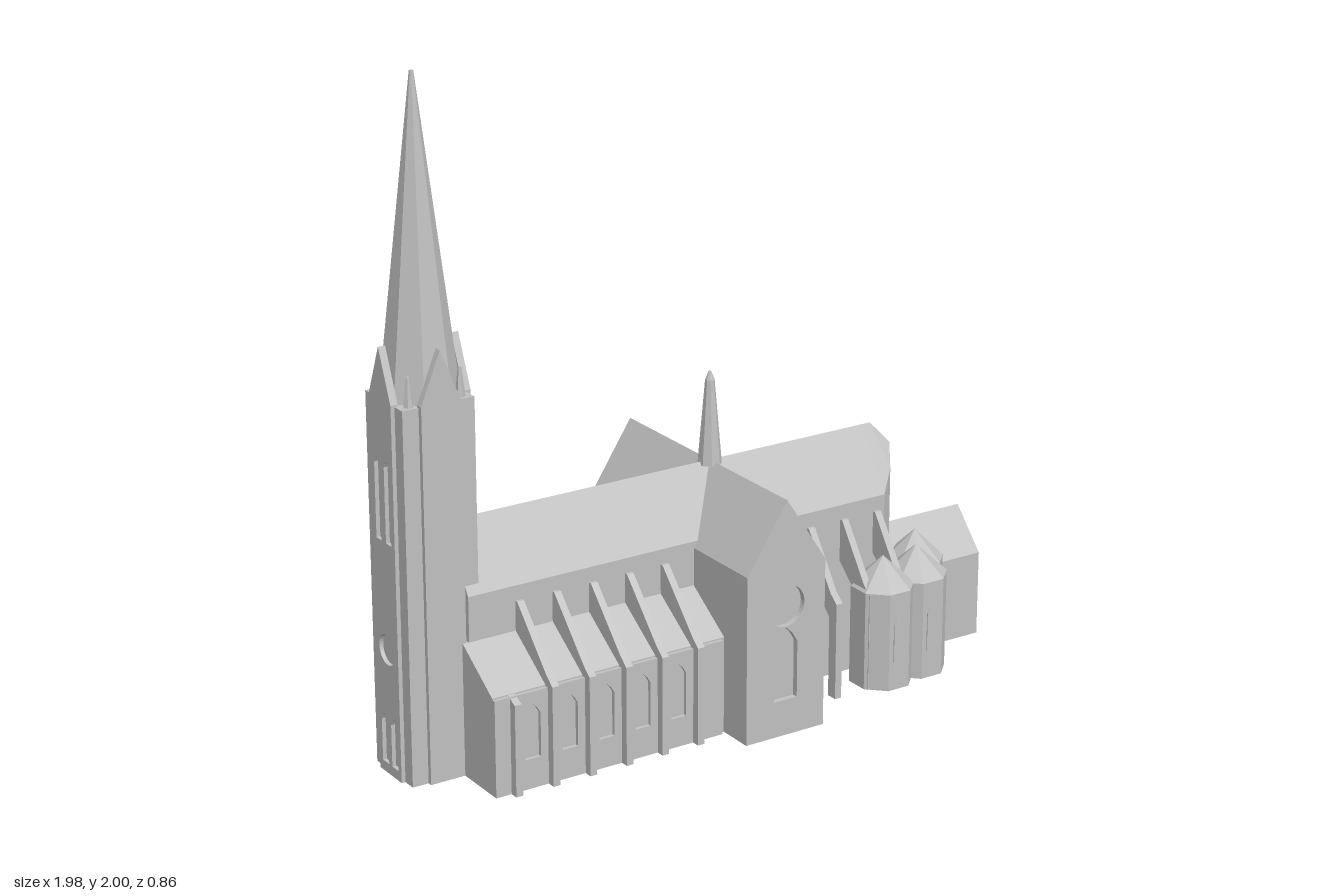
import * as THREE from 'three';

const C = 0.0375; // z of the long axis
const stone = new THREE.MeshStandardMaterial({ color: 0xc0c0c0 });
stone.name = 'stone';

export function createModel() {
  const root = new THREE.Group();
  root.name = 'church';

  const add = (name, geo, x = 0, y = 0, z = 0, parent = root) => {
    const flat = geo.index ? geo.toNonIndexed() : geo;
    flat.computeVertexNormals();
    const m = new THREE.Mesh(flat, stone);
    m.name = name;
    m.position.set(x, y, z);
    parent.add(m);
    return m;
  };
  const shapeOf = (pts, holes = []) => {
    const s = new THREE.Shape(pts.map(p => new THREE.Vector2(...p)));
    s.holes = holes;
    return s;
  };
  const extrude = (pts, depth, holes) =>
    new THREE.ExtrudeGeometry(shapeOf(pts, holes), { depth, bevelEnabled: false, curveSegments: 16 });
  // Profile in (x, y), extruded from z0 to z1
  const alongZ = (name, pts, z0, z1, holes) => add(name, extrude(pts, z1 - z0, holes), 0, 0, z0);
  // Profile in (z, y), extruded from x0 to x1
  const alongX = (name, pts, x0, x1, holes) =>
    add(name, extrude(pts.map(([z, y]) => [-z, y]), x1 - x0, holes).rotateY(Math.PI / 2), x0);
  const gable = (c, h, eave, ridge) => [[c - h, 0], [c + h, 0], [c + h, eave], [c, ridge], [c - h, eave]];
  const lancetPts = (c, w, y0, y1) => {
    const sh = y1 - w * 0.65;
    return [[c - w / 2, y0], [c + w / 2, y0], [c + w / 2, sh], [c + w * 0.28, sh + w * 0.37],
      [c, y1], [c - w * 0.28, sh + w * 0.37], [c - w / 2, sh]];
  };
  const lancet = (...a) => shapeOf(lancetPts(...a));
  const rose = (x, y, r) => {
    const p = new THREE.Path();
    p.absarc(x, y, r, 0, Math.PI * 2);
    return p;
  };
  const octagon = (r0, r1, h) => new THREE.CylinderGeometry(r1, r0, h, 8).rotateY(Math.PI / 8).translate(0, h / 2, 0);

  // Nave and choir under one long roof
  alongX('nave', gable(C, 0.12, 0.535, 0.72), -0.8, 0.62);

  // Apse: vertical walls cut by the roof slope, closed by a small hip
  const rim = [[0.62, 0.12, 0.535], [0.67, 0.08, 0.597], [0.698, 0.035, 0.66]];
  const ring = [...rim, ...rim.map(([x, z, y]) => [x, -z, y]).reverse()];
  const v = [];
  for (let i = 0; i < 5; i++) {
    const [ax, az, ay] = ring[i], [bx, bz, by] = ring[i + 1];
    v.push(ax, 0, az, bx, 0, bz, bx, by, bz, ax, 0, az, bx, by, bz, ax, ay, az);
    v.push(ax, ay, az, bx, by, bz, 0.65, 0.72, 0);
  }
  v.push(0.62, 0.535, 0.12, 0.65, 0.72, 0, 0.62, 0.72, 0);
  v.push(0.62, 0.535, -0.12, 0.62, 0.72, 0, 0.65, 0.72, 0);
  for (let i = 1; i < 5; i++) v.push(0.62, 0, 0.12, ring[i + 1 > 5 ? 5 : i + 1][0], 0, ring[i + 1][1], ring[i][0], 0, ring[i][1]);
  const apse = new THREE.BufferGeometry();
  apse.setAttribute('position', new THREE.Float32BufferAttribute(v, 3));
  add('apse', apse, 0, 0, C);

  // Transept with recessed windows in both end walls
  const tp = gable(0.076, 0.134, 0.515, 0.72);
  alongZ('transept', tp, -0.37, 0.41);
  for (const z of [-0.388, 0.41]) {
    alongZ('transeptFacade', tp, z, z + 0.018, [rose(0.076, 0.4, 0.063), lancet(0.076, 0.08, 0.11, 0.335)]);
  }

  // Flying buttress: pier and sloping strut in one slab
  const buttress = (x, s, reach, strut = true) => {
    const pts = strut
      ? [[0.11, 0.37], [0.11, 0.49], [0.13, 0.49], [reach - 0.03, 0.325], [reach, 0.3], [reach, 0], [reach - 0.035, 0], [reach - 0.035, 0.25]]
      : [[reach - 0.05, 0], [reach, 0], [reach, 0.275], [reach - 0.05, 0.3]];
    alongX('buttress', pts.map(([z, y]) => [C + s * z, y]), x - 0.011, x + 0.011);
  };

  const lean = (s, out) => [[0.1, 0], [out, 0], [out, 0.295], [0.12, 0.4], [0.1, 0.4]].map(([z, y]) => [C + s * z, y]);
  for (const s of [1, -1]) {
    // Side aisle with pointed windows
    alongX('aisle', lean(s, 0.276), -0.82, -0.05);
    const z = C + s * 0.2815 - 0.0065;
    alongZ('aisleWall', [[-0.82, 0], [-0.07, 0], [-0.07, 0.291], [-0.82, 0.291]], z, z + 0.013,
      [-0.7, -0.58, -0.46, -0.34, -0.22].map(x => lancet(x, 0.05, 0.09, 0.255)));
    for (let i = 0; i < 6; i++) buttress(-0.76 + i * 0.12, s, 0.313, i > 0);
    // Choir buttresses
    for (const x of [0.35, 0.47, 0.59]) buttress(x, s, 0.272);
  }
  // Choir aisle on the rear side
  alongX('choirAisle', lean(-1, 0.285), 0.2, 0.5);

  // Ring passage and chapels around the apse
  add('ambulatory', octagon(0.18, 0.18, 0.28), 0.63, 0, C);
  const chapels = [[0.54, 0.262], [0.675, 0.245], [0.745, 0.145], [0.53, -0.21], [0.645, -0.195], [0.725, -0.1]];
  chapels.forEach(([x, z], i) => {
    const g = new THREE.Group();
    g.name = 'chapel';
    g.position.set(x, 0, z);
    root.add(g);
    const r = i % 3 === 2 ? 0.09 : 0.096;
    add('chapelWalls', octagon(r, r, 0.305), 0, 0, 0, g);
    add('chapelRoof', octagon(r, 0, 0.09), 0, 0.305, 0, g);
    if (i < 2) {
      const win = new THREE.ExtrudeGeometry(lancet(0, 0.042, 0.09, 0.235), { depth: 0.004, bevelEnabled: false });
      add('chapelWindow', win, 0, 0, r * Math.cos(Math.PI / 8) - 0.001, g);
    }
  });
  alongX('eastChapel', gable(C + 0.003, 0.11, 0.265, 0.388), 0.68, 0.99);

  // Rear annex with a row of small gables
  const teeth = [[0.185, 0], [0.64, 0]];
  const n = 6, w = 0.455 / n;
  for (let i = n; i > 0; i--) {
    teeth.push([0.185 + i * w, 0.225], [0.185 + (i - 0.5) * w, 0.275]);
  }
  teeth.push([0.185, 0.225]);
  alongZ('annex', teeth, -0.433, -0.235);

  // West tower
  const tx = -0.868;
  add('towerBody', new THREE.BoxGeometry(0.222, 1.105, 0.206), tx, 0.5525, C);
  const plate = gable(0, 0.061, 1.11, 1.26);
  for (let i = 0; i < 4; i++) {
    const west = i === 3;
    const holes = west
      ? [rose(0, 0.38, 0.045), lancet(-0.027, 0.03, 0.7, 0.94), lancet(0.027, 0.03, 0.7, 0.94),
        lancet(-0.027, 0.036, 0.03, 0.18), lancet(0.027, 0.036, 0.03, 0.18)] : [];
    const side = new THREE.Group();
    side.name = 'towerSide';
    side.position.set(tx, 0, C);
    side.rotation.y = i * Math.PI / 2;
    root.add(side);
    const out = i % 2 ? 0.123 : 0.117;
    add('towerGable', extrude(plate, 0.022, holes), 0, 0, out - 0.022, side);
    // Corner pinnacle
    add('pinnacle', new THREE.CylinderGeometry(0.005, 0.015, 0.09, 6), 0.08, 1.145, 0.08, side);
  }
  add('towerSpire', octagon(0.112, 0.006, 0.9), tx, 1.1, C);

  // Small spire over the crossing
  add('crossingSpire', octagon(0.036, 0.014, 0.255), 0.076, 0.71, C);
  add('crossingSpireTip', octagon(0.014, 0.004, 0.025), 0.076, 0.965, C);

  return root;
}
